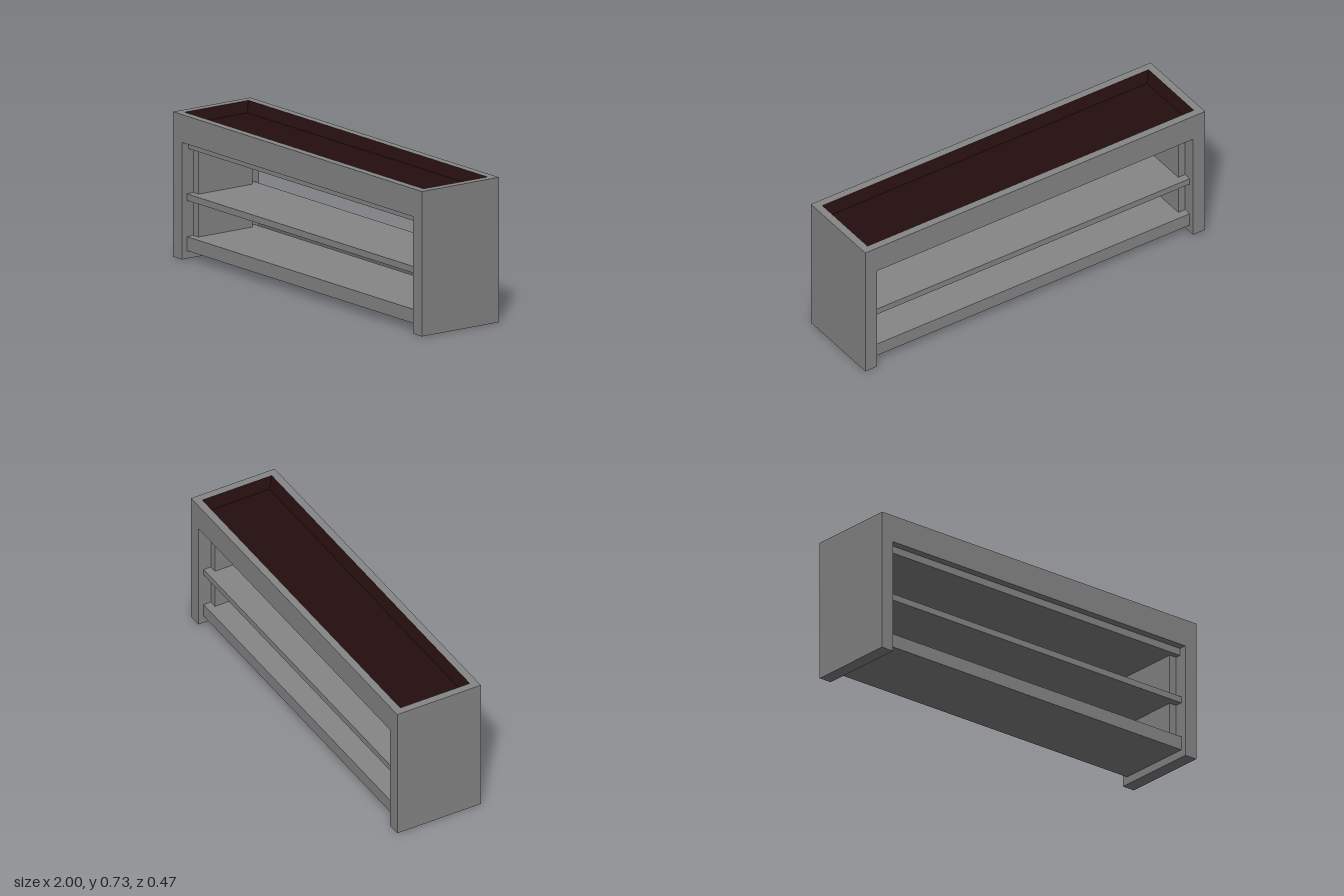
import * as THREE from 'three';

const W = 2, D = 0.47, H = 0.727; // overall size
const RIM = 0.67;                 // underside of the top rim, floor of the recess

export function createModel() {
  const model = new THREE.Group();
  model.name = 'bench';
  const grey = new THREE.MeshStandardMaterial({ color: 0x868686 });
  grey.name = 'grey';
  const darkRed = new THREE.MeshStandardMaterial({ color: 0x240e0e, side: THREE.DoubleSide });
  darkRed.name = 'dark red';

  const add = (name, geometry, material) => {
    const mesh = new THREE.Mesh(geometry, material);
    mesh.name = name;
    model.add(mesh);
    return mesh;
  };
  // box given by its lower and upper limits on each axis
  const box = (name, x0, x1, y0, y1, z0, z1, material = grey) => {
    const g = new THREE.BoxGeometry(x1 - x0, y1 - y0, z1 - z0);
    g.translate((x0 + x1) / 2, (y0 + y1) / 2, (z0 + z1) / 2);
    return add(name, g, material);
  };

  // solid outer ends and the inset panels carrying the shelves
  for (const s of [-1, 1]) {
    const side = s < 0 ? 'right' : 'left';
    const span = (a, b) => (s < 0 ? [-b, -a] : [a, b]);
    box(side + 'End', ...span(0.93, 1), 0, RIM, -D / 2, D / 2);
    box(side + 'InnerPanel', ...span(0.89, 0.93), 0.11, 0.55, -0.165, 0.165);
  }

  // front and back aprons
  box('frontApron', -0.93, 0.93, 0.587, RIM, 0.195, D / 2);
  box('backApron', -0.93, 0.93, 0.587, RIM, -D / 2, -0.195);

  // top rim with a rectangular opening
  const rect = (Type, w, d) => new Type().moveTo(-w, -d).lineTo(w, -d).lineTo(w, d).lineTo(-w, d).closePath();
  const rim = rect(THREE.Shape, W / 2, D / 2);
  rim.holes.push(rect(THREE.Path, 0.96, 0.195));
  const rimGeometry = new THREE.ExtrudeGeometry(rim, { depth: H - RIM, bevelEnabled: false });
  rimGeometry.rotateX(-Math.PI / 2).translate(0, RIM, 0);
  add('topRim', rimGeometry, grey);

  // boards
  box('trayBase', -0.93, 0.93, 0.55, RIM - 0.005, -0.195, 0.195);
  box('middleShelf', -0.93, 0.93, 0.292, 0.325, -0.205, 0.205);
  box('bottomShelf', -0.93, 0.93, 0.04, 0.11, -0.205, 0.205);

  // lined recess: sloping sides and a flat floor
  const corners = [[1, 1], [1, -1], [-1, -1], [-1, 1]];
  const points = [], index = [];
  corners.forEach(([x, z], i) => {
    const [x2, z2] = corners[(i + 1) % 4];
    points.push(x * 0.96, H, z * 0.195, x2 * 0.96, H, z2 * 0.195,
      x2 * 0.93, RIM + 0.005, z2 * 0.165, x * 0.93, RIM + 0.005, z * 0.165);
    const k = i * 4;
    index.push(k, k + 1, k + 2, k, k + 2, k + 3);
  });
  const lining = new THREE.BufferGeometry();
  lining.setAttribute('position', new THREE.Float32BufferAttribute(points, 3));
  lining.setIndex(index);
  lining.computeVertexNormals();
  add('recessLining', lining, darkRed);
  box('recessFloor', -0.93, 0.93, RIM, RIM + 0.005, -0.165, 0.165, darkRed);

  return model;
}
